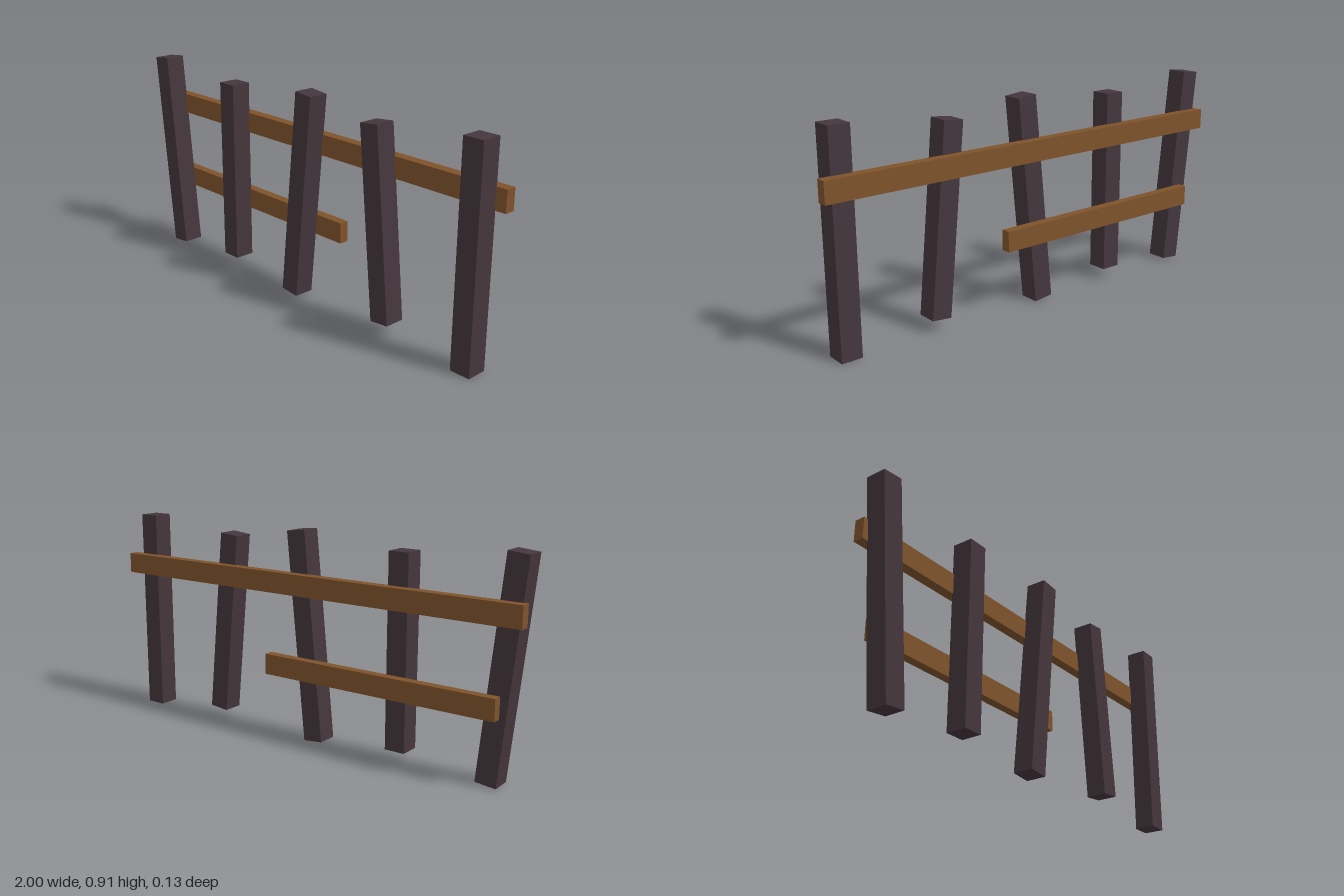
import * as THREE from 'three';

export function createModel() {
  const group = new THREE.Group();
  group.name = 'brokenFence';

  const postWood = new THREE.MeshStandardMaterial({ color: 0x44363c });
  postWood.name = 'dark post wood';
  const railWood = new THREE.MeshStandardMaterial({ color: 0x7f532b });
  railWood.name = 'brown rail wood';

  // Square posts, each running from a bottom centre to a top centre
  const posts = [
    { bottom: [-0.865, 0.005], top: [-0.955, 0.91] },
    { bottom: [-0.458, 0.05], top: [-0.458, 0.867] },
    { bottom: [-0.047, 0.005], top: [0.043, 0.91] },
    { bottom: [0.492, 0.053], top: [0.412, 0.863] },
    { bottom: [0.906, 0], top: [0.906, 0.914] },
  ];
  posts.forEach(({ bottom, top }, i) => {
    const dx = top[0] - bottom[0];
    const dy = top[1] - bottom[1];
    const post = new THREE.Mesh(new THREE.BoxGeometry(0.09, Math.hypot(dx, dy), 0.09), postWood);
    post.position.set((bottom[0] + top[0]) / 2, (bottom[1] + top[1]) / 2, 0.02);
    post.rotation.z = -Math.atan2(dx, dy);
    post.name = `post${i + 1}`;
    group.add(post);
  });

  // Rails fixed to the back of the posts
  const addRail = (name, x0, x1, y0, y1, z0, z1) => {
    const rail = new THREE.Mesh(new THREE.BoxGeometry(x1 - x0, y1 - y0, z1 - z0), railWood);
    rail.position.set((x0 + x1) / 2, (y0 + y1) / 2, (z0 + z1) / 2);
    rail.name = name;
    group.add(rail);
  };
  addRail('upperRail', -1, 1, 0.641, 0.731, -0.065, -0.02);
  addRail('lowerRail', -0.91, 0.178, 0.278, 0.368, -0.065, -0.024);

  return group;
}
